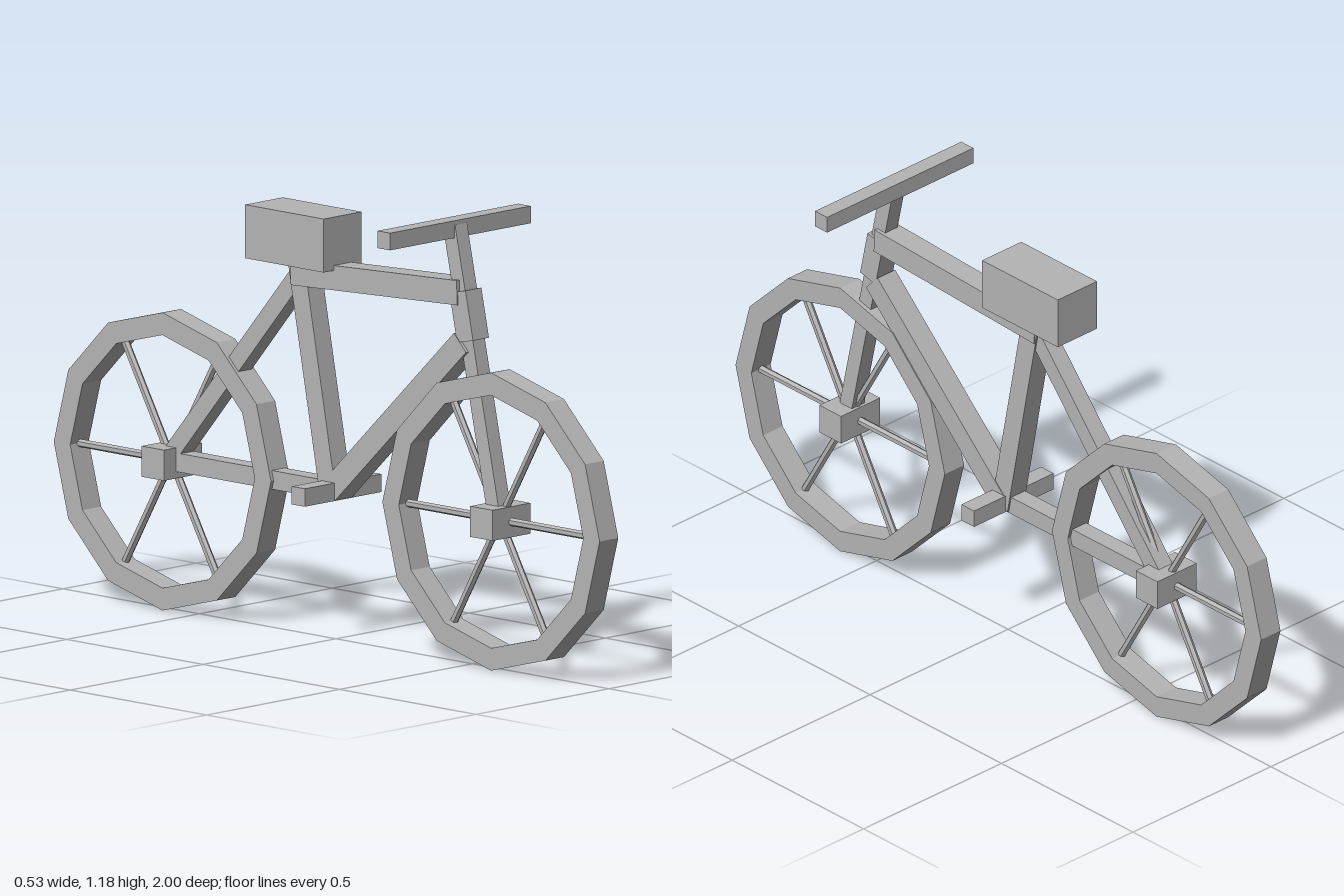
import * as THREE from 'three';

const WHEEL_Y = 0.398, WHEEL_Z = 0.602, OUTER = 0.398, INNER = 0.338, WIDTH = 0.07;

export function createModel() {
  const model = new THREE.Group();
  model.name = 'bicycle';
  const grey = new THREE.MeshStandardMaterial({ color: 0xb4b4b4 });
  grey.name = 'plain grey';

  function add(parent, name, geometry, x = 0, y = 0, z = 0) {
    const mesh = new THREE.Mesh(geometry, grey);
    mesh.name = name;
    mesh.position.set(x, y, z);
    parent.add(mesh);
    return mesh;
  }

  const box = (parent, name, w, h, d, y, z) =>
    add(parent, name, new THREE.BoxGeometry(w, h, d), 0, y, z);

  // Square tube in the middle plane, between two [z, y] points
  function tube(name, [z1, y1], [z2, y2], width, depth = width) {
    const length = Math.hypot(z2 - z1, y2 - y1);
    const mesh = box(model, name, width, length, depth, (y1 + y2) / 2, (z1 + z2) / 2);
    mesh.rotation.x = Math.atan2(z2 - z1, y2 - y1);
  }

  // Twelve-sided rim outline
  const ringPoints = (radius) => Array.from({ length: 12 }, (_, i) => {
    const a = (i * Math.PI) / 6;
    return new THREE.Vector2(Math.cos(a) * radius, Math.sin(a) * radius);
  });

  function wheel(name, z) {
    const group = new THREE.Group();
    group.name = name;
    group.position.set(0, WHEEL_Y, z);
    model.add(group);

    const shape = new THREE.Shape(ringPoints(OUTER));
    shape.holes.push(new THREE.Path(ringPoints(INNER)));
    const rim = new THREE.ExtrudeGeometry(shape, { depth: WIDTH, bevelEnabled: false });
    rim.translate(0, 0, -WIDTH / 2);
    rim.rotateY(Math.PI / 2);
    add(group, 'rim', rim);

    // Three bars across the wheel make six spokes
    for (let i = 0; i < 3; i++) {
      const spoke = add(group, 'spoke',
        new THREE.CylinderGeometry(0.011, 0.011, INNER * 2 + 0.02, 6).toNonIndexed());
      spoke.geometry.computeVertexNormals();
      spoke.rotation.x = Math.PI / 2 + (i * Math.PI) / 3;
    }
    box(group, 'hub', 0.142, 0.082, 0.082, 0, 0);
  }

  wheel('frontWheel', WHEEL_Z);
  wheel('rearWheel', -WHEEL_Z);

  // Frame
  tube('topTube', [0.475, 0.992], [-0.135, 0.965], 0.066);
  tube('downTube', [0.485, 0.86], [0.005, 0.4], 0.064);
  tube('seatTube', [0, 0.385], [-0.118, 1.0], 0.06);
  tube('chainStay', [0, 0.4], [-0.6, 0.4], 0.05);
  tube('seatStay', [-0.115, 0.965], [-0.6, 0.4], 0.05);

  // Steering
  tube('fork', [0.602, 0.4], [0.436, 1.165], 0.045);
  tube('headTube', [0.502, 0.865], [0.474, 0.995], 0.06);
  box(model, 'handlebar', 0.53, 0.046, 0.046, 1.158, 0.433);

  // Saddle and pedals
  box(model, 'saddle', 0.142, 0.143, 0.288, 1.063, -0.12);
  box(model, 'pedalAxle', 0.288, 0.048, 0.048, 0.4, 0.002);

  return model;
}
